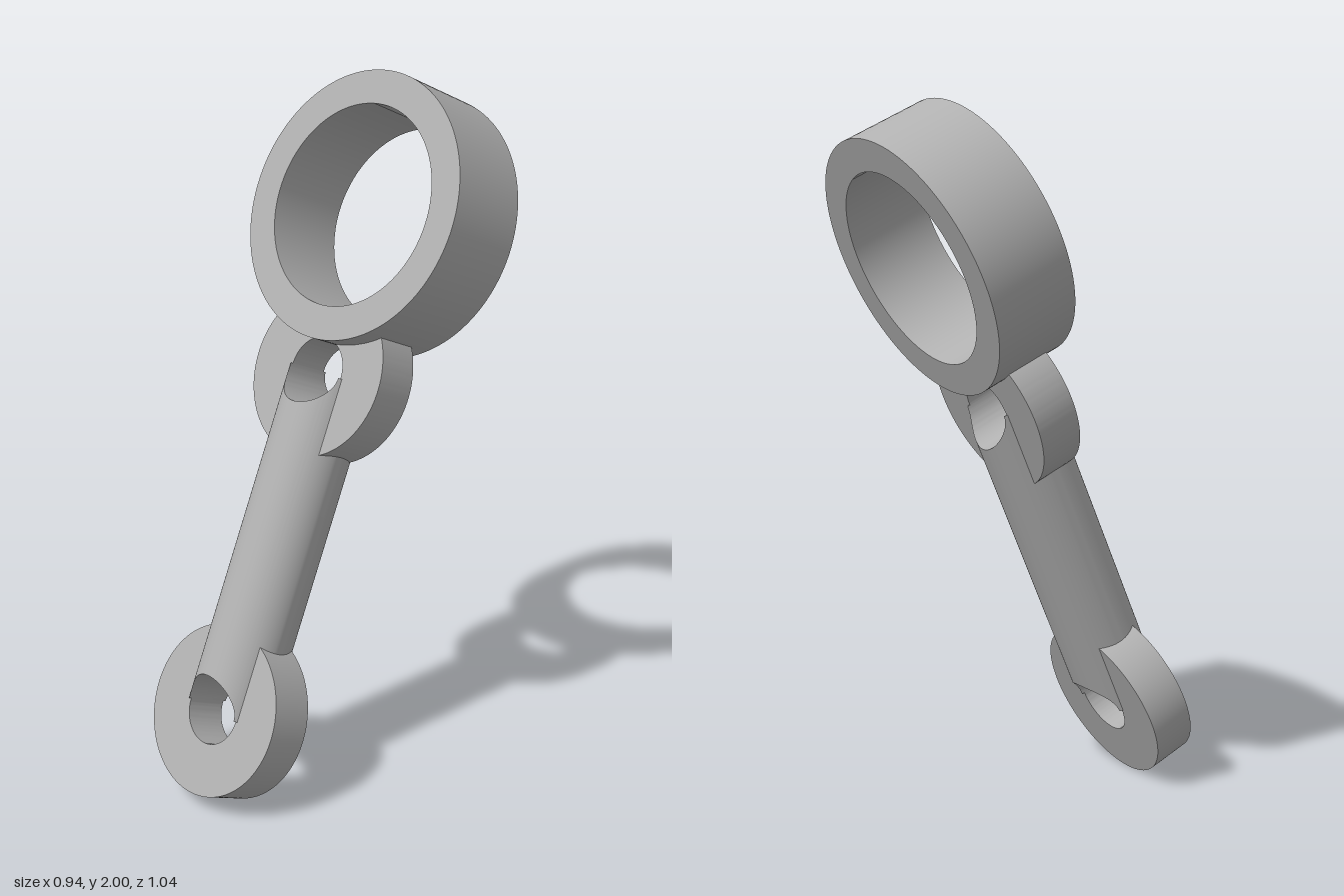
import * as THREE from 'three';
import { toCreasedNormals } from 'three/addons/utils/BufferGeometryUtils.js';

// Sizes, in a local frame: rod along y, ring axes along z, lower eye at the origin
const ROD_R = 0.122, ROD_L = 1.003;
const EYE_R = 0.244, EYE_HOLE = 0.097, EYE_T = 0.13;
const RING_R = 0.384, RING_HOLE = 0.288, RING_T = 0.258, RING_Y = 1.472;

const circle = (C, y, r) => new C().absarc(0, y, r, 0, Math.PI * 2, false);

// Flat plate centred on z = 0 with a round hole
function plate(shape, holeY, holeR, depth) {
  shape.holes.push(circle(THREE.Path, holeY, holeR));
  const g = new THREE.ExtrudeGeometry(shape, { depth, bevelEnabled: false, curveSegments: 72 });
  g.translate(0, 0, -depth / 2);
  return toCreasedNormals(g, 0.6);
}

// Upper eye outline, cut away where it runs into the large ring
function upperEyeShape() {
  const cut = 0.34, d = RING_Y - ROD_L;
  const py = (d * d + EYE_R * EYE_R - cut * cut) / (2 * d);
  const px = Math.sqrt(EYE_R * EYE_R - py * py);
  const a = Math.atan2(py, px);
  const s = new THREE.Shape();
  s.absarc(0, ROD_L, EYE_R, a, Math.PI - a, true);
  s.absarc(0, RING_Y, cut, Math.atan2(py - d, -px), Math.atan2(py - d, px), false);
  return s;
}

// Round rod whose two ends are scooped out by the eye holes
function rodGeometry() {
  const xs = [], edge = Math.acos(EYE_HOLE / ROD_R);
  for (let i = 0; i < 8; i++) xs.push(-ROD_R * Math.cos(edge * i / 8));
  for (let i = 0; i <= 40; i++) xs.push(-EYE_HOLE * Math.cos(Math.PI * i / 40));
  for (let i = 7; i >= 0; i--) xs.push(ROD_R * Math.cos(edge * i / 8));

  const pos = [];
  const quad = (a, b, c, d) => pos.push(...a, ...b, ...c, ...a, ...c, ...d);
  const column = (x) => {
    const z = Math.sqrt(Math.max(0, ROD_R * ROD_R - x * x));
    const lo = Math.sqrt(Math.max(0, EYE_HOLE * EYE_HOLE - x * x));
    const hi = ROD_L - lo;
    return { lf: [x, lo, z], lb: [x, lo, -z], hf: [x, hi, z], hb: [x, hi, -z] };
  };
  for (let i = 0; i < xs.length - 1; i++) {
    const p = column(xs[i]), q = column(xs[i + 1]);
    quad(p.lf, q.lf, q.hf, p.hf); // front half
    quad(q.lb, p.lb, p.hb, q.hb); // back half
    quad(p.lb, q.lb, q.lf, p.lf); // lower end
    quad(p.hf, q.hf, q.hb, p.hb); // upper end
  }
  const g = new THREE.BufferGeometry();
  g.setAttribute('position', new THREE.Float32BufferAttribute(pos, 3));
  return toCreasedNormals(g, 0.6);
}

export function createModel() {
  const grey = new THREE.MeshStandardMaterial({ color: 0xb0b0b0 });
  grey.name = 'plain grey';

  const linkage = new THREE.Group();
  linkage.name = 'connectingLink';
  const add = (name, geometry) => {
    const m = new THREE.Mesh(geometry, grey);
    m.name = name;
    linkage.add(m);
  };

  add('lowerEye', plate(circle(THREE.Shape, 0, EYE_R), 0, EYE_HOLE, EYE_T));
  add('upperEye', plate(upperEyeShape(), ROD_L, EYE_HOLE, EYE_T));
  add('largeRing', plate(circle(THREE.Shape, RING_Y, RING_R), RING_Y, RING_HOLE, RING_T));
  add('rod', rodGeometry());

  // Tilt the link into its leaning pose
  const up = new THREE.Vector3(0.2, 0.917, -0.345).normalize();
  const face = new THREE.Vector3(-0.447, 0.405, 0.797);
  face.addScaledVector(up, -face.dot(up)).normalize();
  const side = new THREE.Vector3().crossVectors(up, face);
  linkage.quaternion.setFromRotationMatrix(new THREE.Matrix4().makeBasis(side, up, face));
  linkage.position.set(-0.2255, 0.249, 0.321);

  const model = new THREE.Group();
  model.name = 'model';
  model.add(linkage);
  return model;
}
